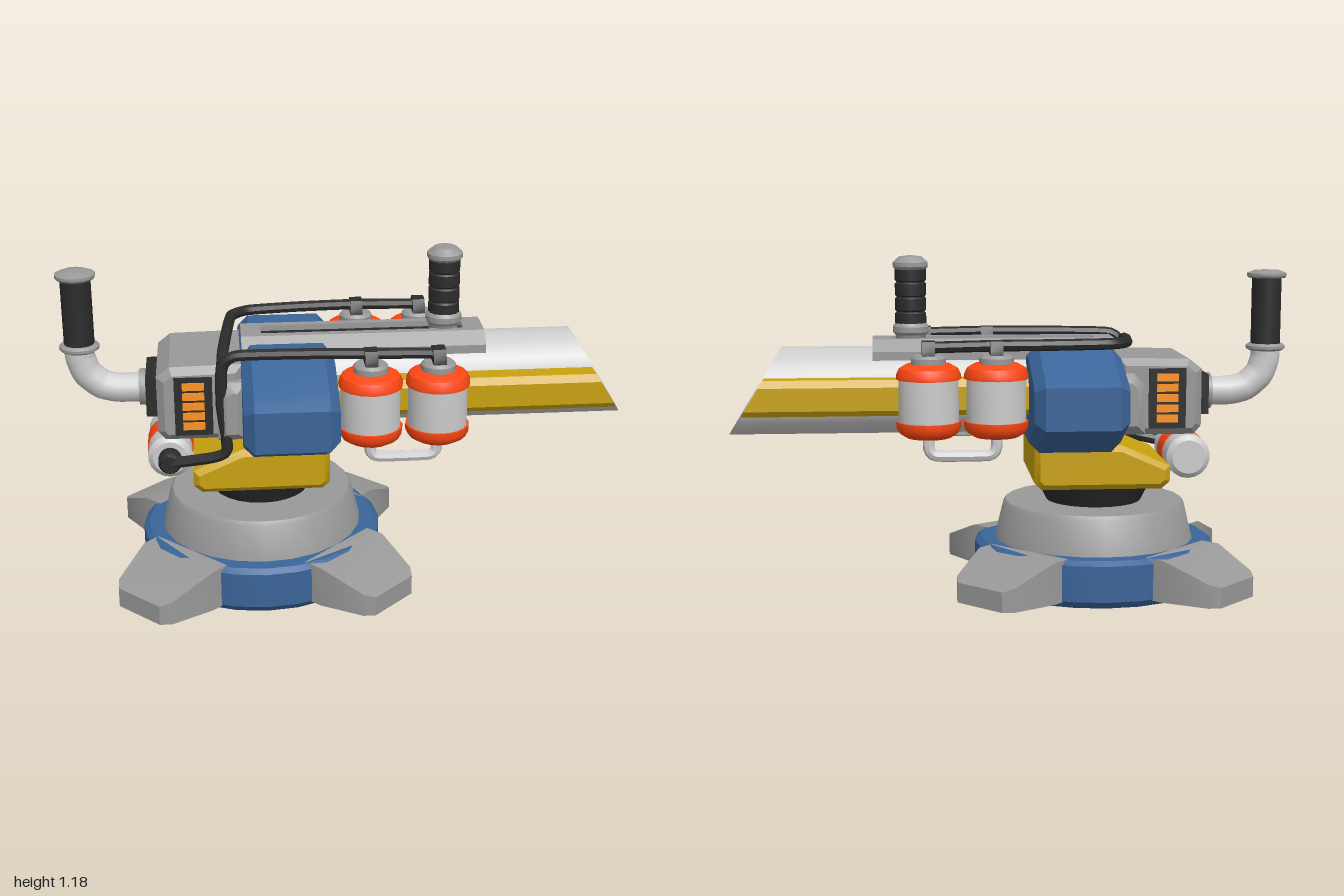
import * as THREE from 'three';
import { toCreasedNormals } from 'three/addons/utils/BufferGeometryUtils.js';

const mat = (color) => new THREE.MeshStandardMaterial({ color });
const M = {
  light: mat(0xcccccc), grey: mat(0x999999), blue: mat(0x3a6499), yellow: mat(0xc9a210),
  orange: mat(0xff4812), vent: mat(0xff9420), black: mat(0x2b2b2b),
};
const BASE_X = -0.31, BARREL_Y = 0.705;

export function createModel() {
  const root = new THREE.Group();

  const add = (name, geo, material, x = 0, y = 0, z = 0, crease = 0.6) => {
    const mesh = new THREE.Mesh(toCreasedNormals(geo, crease), material);
    mesh.name = name;
    mesh.position.set(x, y, z);
    root.add(mesh);
    return mesh;
  };
  const box = (name, m, w, h, d, x, y, z) => add(name, new THREE.BoxGeometry(w, h, d), m, x, y, z);
  // profile points are [radius, height], listed bottom to top
  const lathe = (pts, seg = 24, start = 0, len = Math.PI * 2) =>
    new THREE.LatheGeometry(pts.map(([r, y]) => new THREE.Vector2(r, y)), seg, start, len);
  // outline extruded along z, centred, with the bevel kept inside the outline
  const extrude = (pts, depth, bevel = 0) => {
    const shape = new THREE.Shape(pts.map(([x, y]) => new THREE.Vector2(x, y)));
    const geo = new THREE.ExtrudeGeometry(shape, {
      depth: depth - 2 * bevel, bevelEnabled: bevel > 0, bevelSize: bevel,
      bevelThickness: bevel, bevelOffset: -bevel, bevelSegments: 1,
    });
    return geo.translate(0, 0, bevel - depth / 2);
  };
  // outline of [z, y] points extruded along x
  const extrudeX = (pts, x0, x1, bevel = 0) =>
    extrude(pts.map(([z, y]) => [-z, y]), x1 - x0, bevel).rotateY(Math.PI / 2).translate((x0 + x1) / 2, 0, 0);
  const tube = (pts, r, seg = 48, sides = 10) => new THREE.TubeGeometry(
    new THREE.CatmullRomCurve3(pts.map((p) => new THREE.Vector3(...p)), false, 'catmullrom', 0.25), seg, r, sides);
  const mirrorPts = (half) => [...half, ...half.map(([z, y]) => [-z, y]).reverse()];

  // round base with a recessed underside
  add('baseRing', lathe([[0.33, 0.03], [0.35, 0], [0.41, 0], [0.43, 0.025], [0.43, 0.15], [0.41, 0.165], [0.34, 0.165]]),
    M.blue, BASE_X);
  add('baseUndersideRing', lathe([[0.29, 0.02], [0.335, 0.012], [0.34, 0.05]]), M.black, BASE_X);
  add('baseUnderside', lathe([[0, 0.025], [0.3, 0.025]]), M.grey, BASE_X);
  box('baseUndersideRib', M.black, 0.58, 0.006, 0.012, BASE_X, 0.023, 0);
  add('baseCone', lathe([[0.36, 0.16], [0.33, 0.285], [0.32, 0.3], [0, 0.3]]), M.grey, BASE_X);
  add('neck', lathe([[0.165, 0.29], [0.21, 0.38], [0, 0.38]]), M.black, BASE_X);

  // four wedge feet
  for (let i = 0; i < 4; i++) {
    const geo = extrude(mirrorPts([[0.17, 0.36], [0.17, 0.43], [0.13, 0.59], [0.1, 0.62]]).map(([v, u]) => [u, v]), 1)
      .rotateX(-Math.PI / 2);
    const p = geo.attributes.position;
    for (let k = 0; k < p.count; k++) {
      const slope = Math.max(0, (p.getX(k) - 0.43) / 0.19);
      p.setY(k, p.getY(k) > 0 ? 0.166 - 0.076 * slope : 0.02);
    }
    add('foot', geo, M.grey, BASE_X).rotation.y = Math.PI / 4 + i * Math.PI / 2;
  }

  // cradle and main housing
  add('cradle', extrude([[-0.52, 0.375], [-0.1, 0.375], [-0.075, 0.4], [-0.075, 0.53], [-0.38, 0.53],
    [-0.55, 0.455], [-0.55, 0.4]], 0.48, 0.02), M.yellow);
  add('mainHousing', extrudeX(mirrorPts([[0.24, 0.51], [0.47, 0.62], [0.47, 0.765], [0.41, 0.8], [0.22, 0.868]]),
    -0.375, -0.055, 0.035), M.blue, 0, 0, 0, 0.2);
  add('rearCollar', extrude([[-0.46, 0.57], [-0.36, 0.57], [-0.36, 0.78], [-0.42, 0.78], [-0.46, 0.74]], 0.5, 0.03), M.grey);

  // rear box with side vents
  add('rearBox', extrude([[-0.64, 0.56], [-0.37, 0.56], [-0.37, 0.83], [-0.62, 0.825], [-0.665, 0.79], [-0.665, 0.59]],
    0.4, 0.025), M.grey, 0, 0, 0, 0.2);
  box('rearPlate', M.black, 0.05, 0.14, 0.22, -0.68, 0.69, 0);
  for (const s of [1, -1]) {
    box('ventFrame', M.black, 0.13, 0.21, 0.02, -0.54, 0.69, s * 0.197);
    for (let i = 0; i < 5; i++) box('ventSlat', M.vent, 0.075, 0.027, 0.016, -0.54, 0.62 + i * 0.036, s * 0.204);
  }

  // rear handle
  add('rearHandlePipe', tube([[-0.68, 0.69, 0], [-0.8, 0.69, 0], [-0.86, 0.705, 0], [-0.91, 0.75, 0],
    [-0.93, 0.81, 0], [-0.93, 0.86, 0]], 0.052, 28, 14), M.light);
  const pipeCollar = add('rearPipeCollar', new THREE.CylinderGeometry(0.065, 0.065, 0.04, 14), M.grey, -0.71, 0.69);
  pipeCollar.rotation.z = Math.PI / 2;
  add('rearGrip', new THREE.CylinderGeometry(0.053, 0.053, 0.26, 16), M.black, -0.93, 0.975);
  add('rearGripFlange', lathe([[0, 0.835], [0.06, 0.835], [0.07, 0.842], [0.07, 0.852], [0.06, 0.86], [0, 0.86]], 14), M.grey, -0.93);
  add('rearGripCap', lathe([[0, 1.095], [0.065, 1.095], [0.07, 1.102], [0.07, 1.112], [0.045, 1.122], [0, 1.124]], 14), M.grey, -0.93);

  // barrel with a slanted muzzle
  const slant = (geo, from) => {
    const p = geo.attributes.position;
    for (let i = 0; i < p.count; i++)
      if (p.getX(i) > from) p.setX(i, p.getX(i) - p.getY(i) * 0.61);
    return geo;
  };
  add('barrel', slant(lathe([[0.155, -0.08], [0.155, 0.895], [0.128, 0.895], [0.127, 0.86]], 28).rotateZ(-Math.PI / 2), 0.5),
    M.light, 0, BARREL_Y, 0);
  add('bore', slant(lathe([[0.128, 0.875], [0.127, 0.2], [0, 0.2]], 28).rotateZ(-Math.PI / 2), 0.5),
    M.black, 0, BARREL_Y, 0);

  for (const s of [1, -1]) {
    // yellow side rails cut at the muzzle angle
    const rail = extrudeX([[0.12, 0.64], [0.21, 0.64], [0.225, 0.66], [0.225, 0.74], [0.21, 0.765], [0.12, 0.765]]
      .map(([z, y]) => [s * z, y - BARREL_Y]), -0.08, 0.89);
    add('sideRail', slant(rail, 0.5), M.yellow, 0, BARREL_Y, 0, 0.2);
    // halves of the slotted top plate
    add('topPlateSide', extrudeX([[0.04, 0.82], [0.115, 0.82], [0.115, 0.85], [0.07, 0.89], [0.04, 0.89]]
      .map(([z, y]) => [s * z, y]), -0.37, 0.48), M.grey, 0, 0, 0, 0.2);
  }
  box('topPlateRearEnd', M.grey, 0.07, 0.07, 0.08, -0.335, 0.855, 0);
  box('topPlateFrontEnd', M.grey, 0.07, 0.07, 0.08, 0.445, 0.855, 0);
  box('topSlot', M.black, 0.72, 0.04, 0.08, 0.055, 0.85, 0);

  // top handle
  add('topGripFlange', lathe([[0.05, 0.87], [0.055, 0.9], [0.064, 0.91], [0.064, 0.93], [0.055, 0.942], [0, 0.942]], 14), M.grey, 0.345);
  const grip = [];
  for (let i = 0; i < 4; i++) {
    const y = 0.93 + i * 0.052;
    grip.push([0.049, y], [0.055, y + 0.006], [0.055, y + 0.046], [0.049, y + 0.052]);
  }
  add('topGrip', lathe(grip, 16), M.black, 0.345);
  add('topGripCap', lathe([[0, 1.13], [0.055, 1.13], [0.063, 1.14], [0.063, 1.155], [0.04, 1.175], [0, 1.18]], 14), M.grey, 0.345);

  // tanks on both sides
  for (const s of [1, -1]) {
    const z = s * 0.27;
    for (const x of [0.06, 0.29]) {
      add('tankBottom', lathe([[0, 0.575], [0.075, 0.575], [0.1, 0.59], [0.11, 0.61], [0.11, 0.63], [0, 0.63]], 16), M.orange, x, 0, z);
      add('tankTop', lathe([[0, 0.775], [0.11, 0.775], [0.11, 0.79], [0.1, 0.812], [0.075, 0.826], [0, 0.826]], 16), M.orange, x, 0, z);
      const outer = s > 0 ? -Math.PI / 2 : Math.PI / 2;
      add('tankSleeve', lathe([[0.102, 0.625], [0.102, 0.78]], 10, outer, Math.PI), M.light, x, 0, z);
      add('tankInnerSide', lathe([[0.108, 0.625], [0.108, 0.78]], 10, outer + Math.PI, Math.PI), M.orange, x, 0, z);
      add('tankNeck', lathe([[0.06, 0.82], [0.06, 0.845], [0.05, 0.855], [0, 0.855]], 14), M.grey, x, 0, z);
      add('tankValve', extrudeX(mirrorPts([[0.045, 0.85], [0.042, 0.87], [0.025, 0.903]]), -0.022, 0.022), M.black, x, 0, z);
    }
    add('tankLinkPipe', tube([[0.06, 0.6, z], [0.06, 0.535, z], [0.085, 0.51, z], [0.265, 0.51, z],
      [0.29, 0.535, z], [0.29, 0.6, z]], 0.02, 30, 8), M.light);
  }

  // hoses: one runs down to the rear canister, the other crosses behind the housing to join it
  add('leftHose', tube([[0.31, 0.88, 0.265], [0.06, 0.885, 0.26], [-0.15, 0.885, 0.245], [-0.39, 0.88, 0.23],
    [-0.44, 0.84, 0.225], [-0.445, 0.7, 0.225], [-0.43, 0.53, 0.22], [-0.48, 0.5, 0.21], [-0.63, 0.47, 0.18]], 0.02, 64, 8), M.black);
  add('rightHose', tube([[0.31, 0.88, -0.265], [0.06, 0.885, -0.265], [-0.15, 0.885, -0.255], [-0.34, 0.885, -0.23],
    [-0.4, 0.885, -0.17], [-0.42, 0.88, 0], [-0.435, 0.865, 0.15], [-0.44, 0.83, 0.225]], 0.02, 64, 8), M.black);

  // rear canister lying across the back
  const canister = (name, m, pts) => add(name, lathe(pts, 18).rotateX(Math.PI / 2), m, -0.63, 0.472, 0);
  canister('canister', M.light, [[0, -0.15], [0.06, -0.15], [0.078, -0.135], [0.078, 0.125], [0.06, 0.14], [0, 0.14]]);
  canister('canisterBand', M.orange, [[0.078, -0.05], [0.081, -0.048], [0.081, 0.048], [0.078, 0.05]]);
  canister('canisterCap', M.black, [[0.04, 0.13], [0.04, 0.185], [0.03, 0.2], [0, 0.2]]);

  return root;
}
